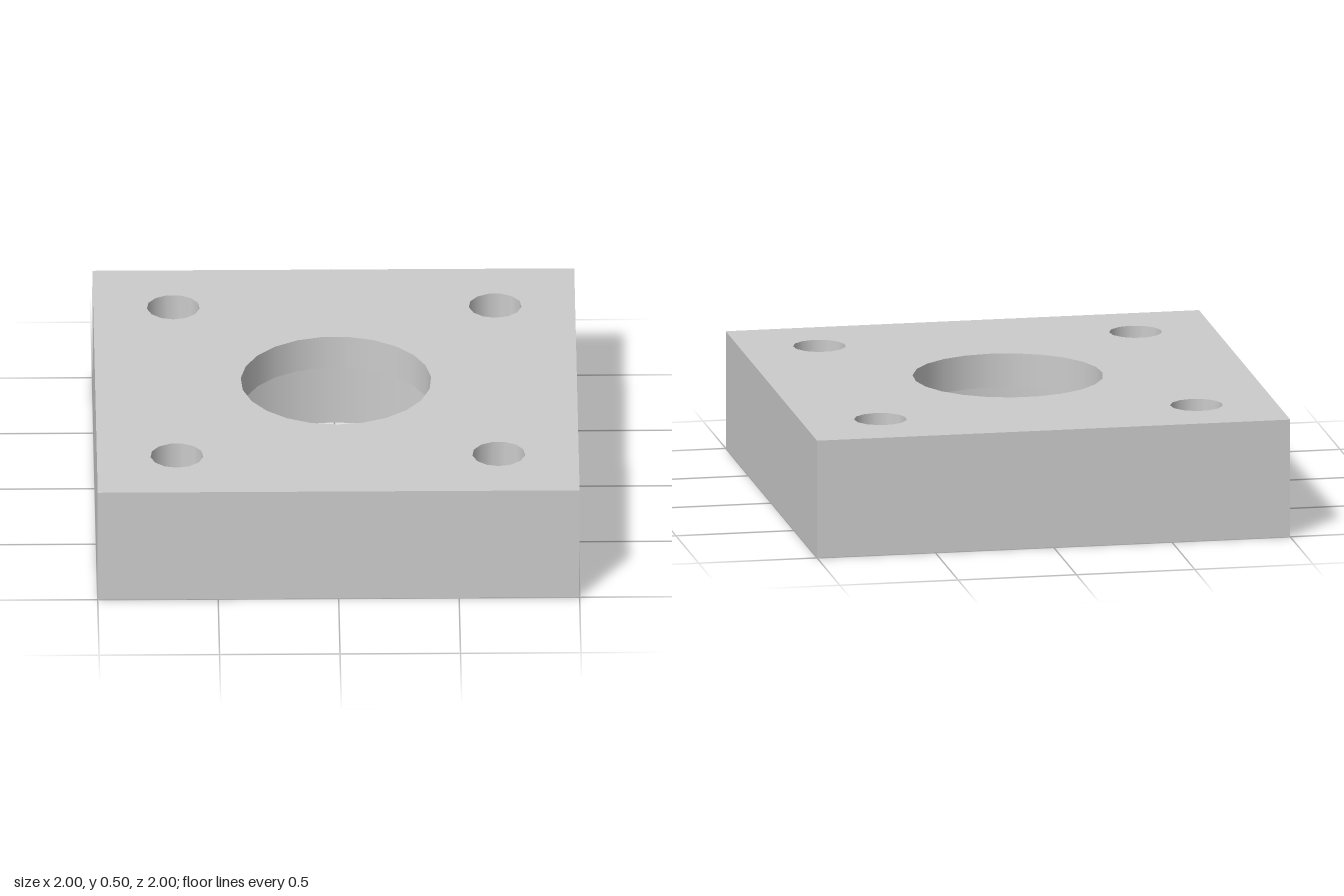
import * as THREE from 'three';

const H = 0.5;        // block height
const LEDGE = 0.356;  // top of the counterbore
const THROUGH = { x: 0, z: 0, r: 0.396, n: 23 };
const BORE = { x: 0, z: 0, r: 0.587, n: 28 };
const BOLTS = [];
for (const x of [-0.668, 0.668]) for (const z of [-0.668, 0.668]) BOLTS.push({ x, z, r: 0.11, n: 13 });

// Corner points of a round hole in (x, z)
function circle({ x, z, r, n }) {
  return Array.from({ length: n }, (_, i) => {
    const a = (i / n) * Math.PI * 2;
    return new THREE.Vector2(x + r * Math.sin(a), z + r * Math.cos(a));
  });
}

// Level face with holes, looking up or down
function levelFace(outline, holes, y, up) {
  const flip = (pts) => pts.map((p) => new THREE.Vector2(p.x, up ? -p.y : p.y));
  const shape = new THREE.Shape(flip(outline));
  for (const h of holes) shape.holes.push(new THREE.Path(flip(circle(h))));
  return new THREE.ShapeGeometry(shape).rotateX(up ? -Math.PI / 2 : Math.PI / 2).translate(0, y, 0);
}

// Inward-facing round wall, smooth around
function holeWall({ x, z, r, n }, y0, y1) {
  const profile = [new THREE.Vector2(r, y1), new THREE.Vector2(r, y0)];
  return new THREE.LatheGeometry(profile, n).translate(x, 0, z);
}

export function createModel() {
  const group = new THREE.Group();
  group.name = 'mountingBlock';
  const grey = new THREE.MeshStandardMaterial({ color: 0xcccccc });
  grey.name = 'grey';

  const add = (name, geometry) => {
    const mesh = new THREE.Mesh(geometry, grey);
    mesh.name = name;
    group.add(mesh);
  };

  const square = [[-1, -1], [1, -1], [1, 1], [-1, 1]].map(([x, z]) => new THREE.Vector2(x, z));

  // Block faces
  add('topFace', levelFace(square, [THROUGH, ...BOLTS], H, true));
  add('bottomFace', levelFace(square, [BORE, ...BOLTS], 0, false));
  ['frontSide', 'leftSide', 'backSide', 'rightSide'].forEach((name, i) => {
    add(name, new THREE.PlaneGeometry(2, H).translate(0, H / 2, 1).rotateY((i * Math.PI) / 2));
  });

  // Stepped centre hole, wider from below
  add('throughHole', holeWall(THROUGH, LEDGE, H));
  add('counterboreWall', holeWall(BORE, 0, LEDGE));
  add('counterboreLedge', levelFace(circle(BORE), [THROUGH], LEDGE, false));

  // Corner bolt holes
  for (const b of BOLTS) add('boltHole', holeWall(b, 0, H));

  return group;
}
